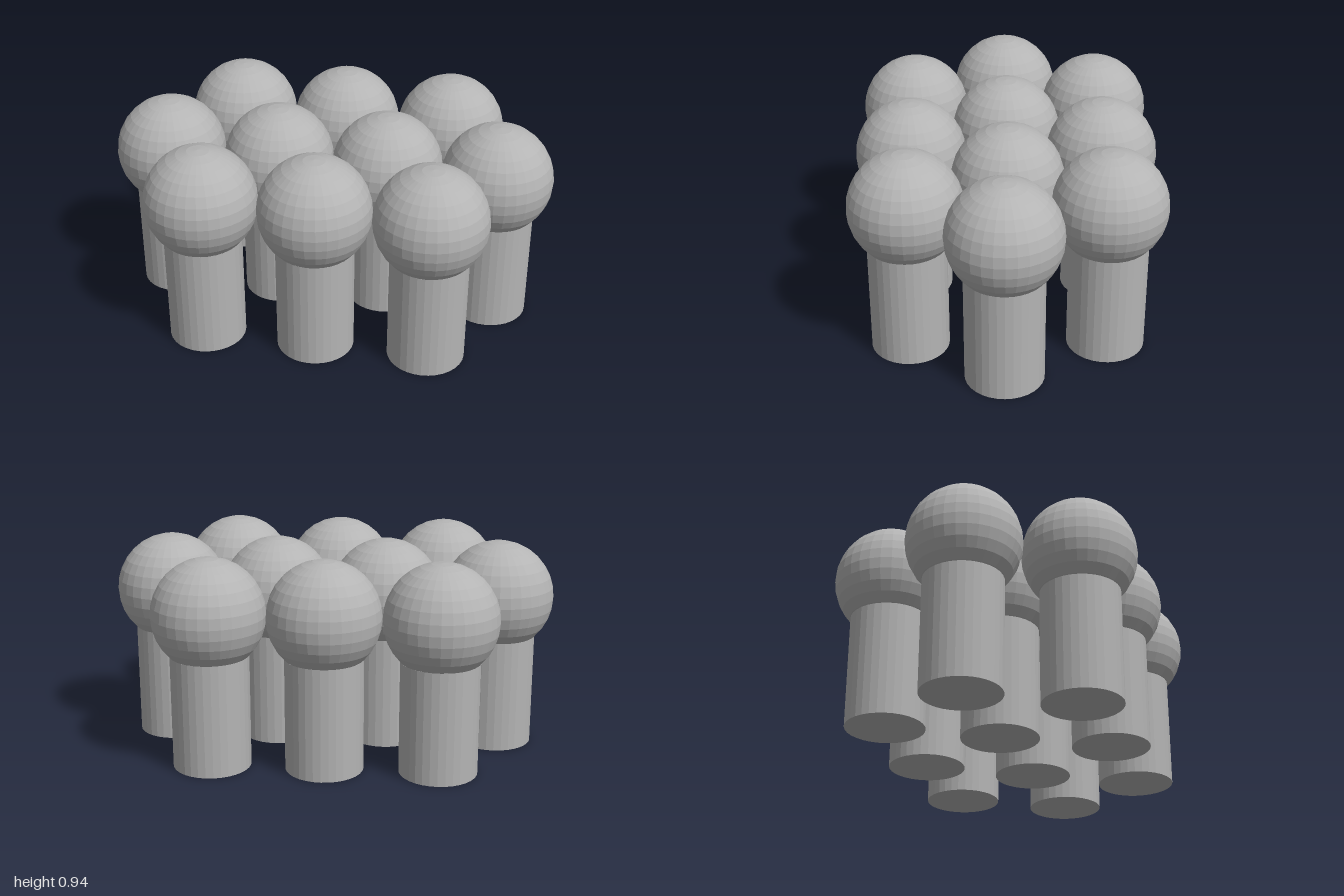
import * as THREE from 'three';

export function createModel() {
  const model = new THREE.Group();
  const grey = new THREE.MeshStandardMaterial({ color: 0xb4b4b4, flatShading: true });
  grey.name = 'grey';

  const ballRadius = 0.25, ballY = 0.69;
  const stemRadius = 0.173, stemHeight = 0.51;
  const ballGeometry = new THREE.SphereGeometry(ballRadius, 32, 16);
  const stemGeometry = new THREE.CylinderGeometry(stemRadius, stemRadius, stemHeight, 32);

  // Staggered rows of pegs as [x, z]
  const places = [
    [-0.5, -0.433], [0, -0.433], [0.5, -0.433],
    [-0.75, -0.003], [-0.243, -0.003], [0.255, -0.003], [0.75, 0.018],
    [-0.5, 0.432], [0, 0.432], [0.5, 0.432],
  ];

  places.forEach(([x, z], i) => {
    const peg = new THREE.Group();
    peg.name = `peg${i + 1}`;
    peg.position.set(x, 0, z);

    // Round stem standing on the ground
    const stem = new THREE.Mesh(stemGeometry, grey);
    stem.name = 'stem';
    stem.position.y = stemHeight / 2;

    // Ball head resting over the stem
    const ball = new THREE.Mesh(ballGeometry, grey);
    ball.name = 'ballHead';
    ball.position.y = ballY;

    peg.add(stem, ball);
    model.add(peg);
  });

  return model;
}
